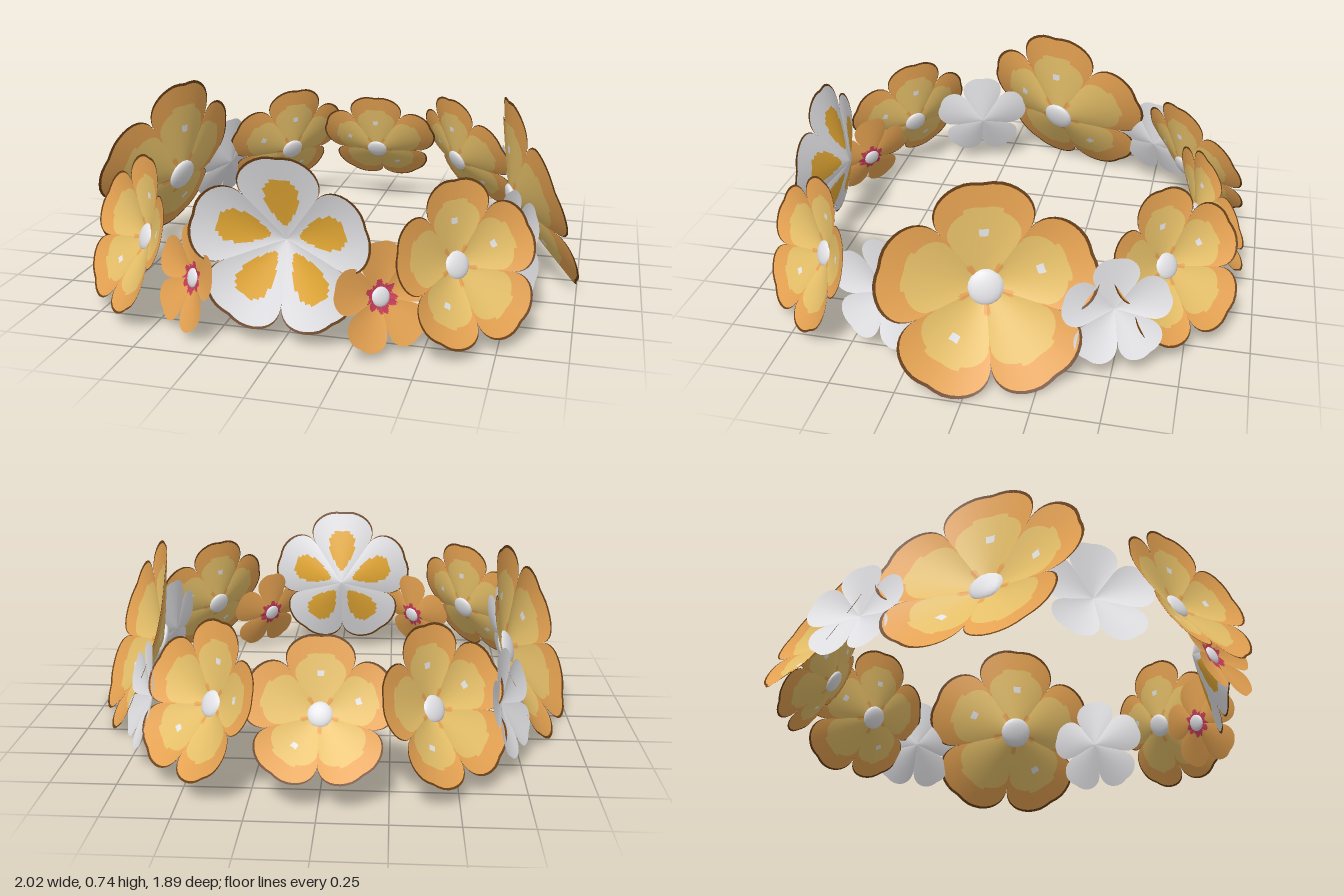
import * as THREE from 'three';

const mat = (name, color) => {
  const m = new THREE.MeshStandardMaterial({ color, side: THREE.DoubleSide });
  m.name = name;
  return m;
};

const MATS = {
  gold: mat('gold', 0xe6c069),
  orange: mat('orange', 0xe6a352),
  brown: mat('dark brown', 0x6a4018),
  white: mat('white', 0xf0f0f4),
  yellow: mat('yellow', 0xe6aa35),
  crimson: mat('crimson', 0xc83c5a),
};

// Colour rules: s runs across a petal (-1..1), t from heart (0) to edge (1), r is the plain radius
const goldRule = (s, t, petal, r) => {
  if (t > 0.975) return 'brown';
  if (t > 0.77 - 0.06 * Math.abs(s)) return 'orange';
  if (petal % 2 === 0 && Math.abs(s) < 0.08 && t > 0.5 && t < 0.57) return 'white';
  if (Math.abs(s) > 0.8 && r < 0.25) return 'orange';
  return 'gold';
};
const lilyRule = (s, t) => {
  if (t > 0.98) return 'brown';
  return (s / 0.6) ** 2 + ((t - 0.45) / 0.29) ** 2 < 1 ? 'yellow' : 'white';
};
const whiteRule = () => 'white';
const orangeRule = (s, t, petal, r) =>
  r < 0.27 + 0.05 * Math.cos(s * 5 + petal) ? 'crimson' : 'orange';

// Kinds of flower: notch is the edge radius between two petals, cup the depth, both per unit radius
const KINDS = {
  gold: { notch: 0.66, cup: 0.34, rule: goldRule, heart: 0.17 },
  lily: { notch: 0.66, cup: 0.37, rule: lilyRule, heart: 0 },
  white: { notch: 0.54, cup: 0.25, rule: whiteRule, heart: 0 },
  orange: { notch: 0.5, cup: 0.25, rule: orangeRule, heart: 0.18 },
};

// Five lobed petals as a cupped polar sheet facing +z, radius 1, one group per colour
function petalGeometry({ notch, cup, rule }) {
  const ACROSS = 24, ALONG = 28;
  const rows = [];
  for (let j = 0; j <= ALONG; j++) rows.push((j / ALONG) * 0.972);
  rows.push(1);
  const across = (i) => Math.sin(((i / ACROSS) * 2 - 1) * Math.PI / 2); // denser at the notches
  const edgeAt = (s) => notch + (1 - notch) * Math.sqrt(Math.max(0, 1 - Math.abs(s) ** 2.6))
    - 0.02 * Math.exp(-((s / 0.15) ** 2));
  const pos = [], faces = {};
  for (let p = 0; p < 5; p++) {
    const base = pos.length / 3;
    const mid = Math.PI / 2 + (p * Math.PI * 2) / 5;
    for (const t of rows) {
      for (let i = 0; i <= ACROSS; i++) {
        const s = across(i);
        const r = t * edgeAt(s);
        const a = mid + (s * Math.PI) / 5;
        pos.push(Math.cos(a) * r, Math.sin(a) * r, cup * r ** 1.1 - 0.05 * r * (1 - s * s));
      }
    }
    for (let j = 0; j < rows.length - 1; j++) {
      for (let i = 0; i < ACROSS; i++) {
        const s = across(i + 0.5), t = (rows[j] + rows[j + 1]) / 2;
        const list = (faces[rule(s, t, p, t * edgeAt(s))] ??= []);
        const a = base + j * (ACROSS + 1) + i, b = a + ACROSS + 1;
        if (j > 0) list.push(a, b, a + 1);
        list.push(b, b + 1, a + 1);
      }
    }
  }
  const geo = new THREE.BufferGeometry();
  geo.setAttribute('position', new THREE.Float32BufferAttribute(pos, 3));
  const index = [], mats = [];
  for (const [colour, list] of Object.entries(faces)) {
    geo.addGroup(index.length, list.length, mats.length);
    for (const v of list) index.push(v);
    mats.push(MATS[colour]);
  }
  geo.setIndex(index);
  geo.computeVertexNormals();
  return { geo, mats };
}

export function createModel() {
  const crown = new THREE.Group();
  crown.name = 'flowerCrown';
  const petals = {};
  for (const k in KINDS) petals[k] = petalGeometry(KINDS[k]);
  const heartGeo = new THREE.SphereGeometry(1, 16, 10);

  // yaw turns the flower away from the front, tilt lifts its face upward (degrees)
  function addFlower(name, kind, x, y, z, radius, yaw, tilt) {
    const flower = new THREE.Group();
    flower.name = name;
    const sheet = new THREE.Mesh(petals[kind].geo, petals[kind].mats);
    sheet.name = name + 'Petals';
    flower.add(sheet);
    const h = KINDS[kind].heart;
    if (h) {
      const heart = new THREE.Mesh(heartGeo, MATS.white);
      heart.name = name + 'Heart';
      heart.scale.set(h, h, h * 0.35);
      heart.position.z = 0.025;
      flower.add(heart);
    }
    flower.rotation.order = 'YXZ';
    flower.rotation.set(-THREE.MathUtils.degToRad(tilt), THREE.MathUtils.degToRad(yaw), 0);
    flower.position.set(x, y, z);
    flower.scale.setScalar(radius);
    crown.add(flower);
  }

  // Single flowers on the centre line
  addFlower('frontFlower', 'lily', 0, 0.375, 0.765, 0.335, 0, 0);
  addFlower('backFlower', 'gold', 0, 0.3, -0.735, 0.28, 180, 32);

  // Mirrored flowers round the ring
  const ring = [
    ['SmallOrangeFlower', 'orange', 0.345, 0.205, 0.795, 0.2, 41, 14],
    ['FrontGoldFlower', 'gold', 0.585, 0.29, 0.65, 0.305, 45, 20],
    ['FrontWhiteFlower', 'white', 0.735, 0.26, 0.355, 0.22, 71, 10],
    ['SideGoldFlower', 'gold', 0.715, 0.325, -0.02, 0.41, 109, 20],
    ['BackWhiteFlower', 'white', 0.665, 0.26, -0.49, 0.21, 112, 14],
    ['BackGoldFlower', 'gold', 0.4, 0.295, -0.645, 0.305, 136, 26],
  ];
  for (const [name, kind, x, y, z, r, yaw, tilt] of ring) {
    addFlower('left' + name, kind, x, y, z, r, yaw, tilt);
    addFlower('right' + name, kind, -x, y, z, r, -yaw, tilt);
  }

  // Stand on the ground, centred front to back
  crown.updateMatrixWorld(true);
  const box = new THREE.Box3().setFromObject(crown, true);
  crown.position.set(0, -box.min.y, -(box.min.z + box.max.z) / 2);
  return crown;
}
